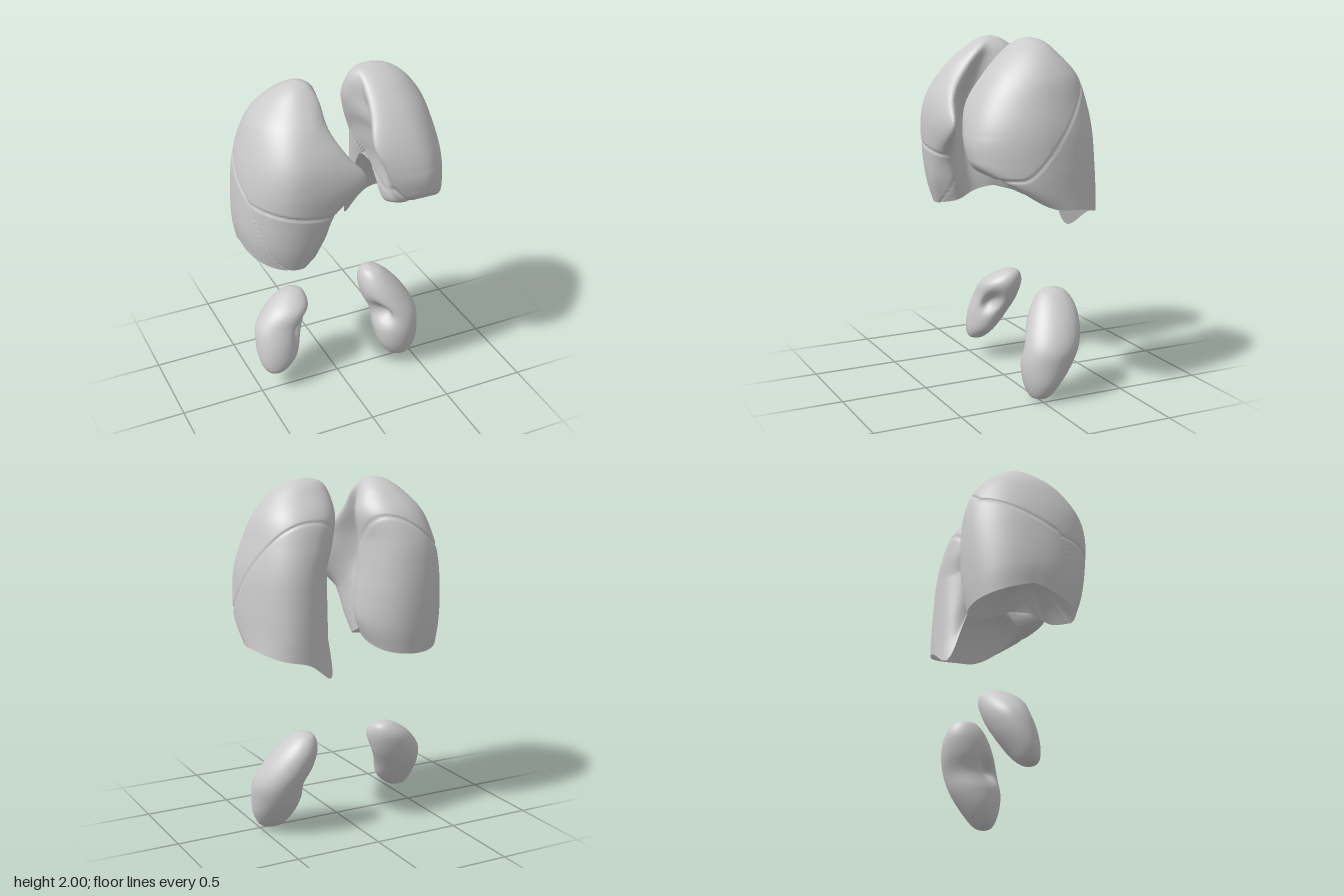
import * as THREE from 'three';

const tissue = new THREE.MeshStandardMaterial({ color: 0xcbcbcb });
tissue.name = 'pale grey tissue';

// Catmull-Rom through the rows of a level table, t from 0 to 1
function sample(levels, t) {
  const f = t * (levels.length - 1);
  const i = Math.min(Math.floor(f), levels.length - 2);
  const k = f - i;
  const row = (n) => levels[THREE.MathUtils.clamp(n, 0, levels.length - 1)];
  return levels[0].map((_, c) => {
    const [a, b, d, e] = [row(i - 1)[c], row(i)[c], row(i + 1)[c], row(i + 2)[c]];
    return b + 0.5 * k * (d - a + k * (2 * a - 5 * b + 4 * d - e + k * (3 * (b - d) + e - a)));
  });
}

// Closed rings stacked from v = 0 to 1; side -1 mirrors. Returns one geometry per group.
function loft(nu, nv, side, point, groupOf = () => 0, groups = 1) {
  const pos = [];
  const all = [];
  const split = Array.from({ length: groups }, () => []);
  for (let j = 0; j <= nv; j++) {
    for (let i = 0; i < nu; i++) {
      const [x, y, z] = point((i / nu) * Math.PI * 2, j / nv);
      pos.push(x * side, y, z);
      if (j === nv) continue;
      const a = j * nu + i;
      const b = j * nu + ((i + 1) % nu);
      const tris = side > 0
        ? [a, a + nu, b, b, a + nu, b + nu]
        : [a, b, a + nu, b, b + nu, a + nu];
      all.push(...tris);
      split[groupOf(x, y, z)].push(...tris);
    }
  }
  const whole = new THREE.BufferGeometry();
  whole.setAttribute('position', new THREE.Float32BufferAttribute(pos, 3));
  whole.setIndex(all);
  whole.computeVertexNormals();
  // lobes share one set of smooth normals
  return split.map((index) => {
    const g = new THREE.BufferGeometry();
    g.setAttribute('position', whole.getAttribute('position'));
    g.setAttribute('normal', whole.getAttribute('normal'));
    g.setIndex(index);
    return g;
  });
}

const power = (v, p) => Math.sign(v) * Math.abs(v) ** p;
const bump = (v, centre, width) => Math.exp(-(((v - centre) / width) ** 2));

// Level rows: y, medial x, lateral x, back z, front z, medial hollow, front tongue
const leftLung = {
  name: 'leftLung', side: 1, domeY: 1.38, frontPower: 1.1, arch: 0.34, heel: 0.15,
  levels: [
    [1.1, 0.17, 0.595, -0.355, 0.2, 0.03, 0],
    [1.2, 0.17, 0.6, -0.355, 0.335, 0.04, 0.02],
    [1.33, 0.15, 0.6, -0.35, 0.367, 0.05, 0.04],
    [1.5, 0.125, 0.588, -0.34, 0.364, 0.06, 0.07],
    [1.65, 0.085, 0.555, -0.32, 0.315, 0.07, 0.09],
    [1.8, 0.065, 0.505, -0.275, 0.225, 0.07, 0.03],
    [1.92, 0.085, 0.415, -0.175, 0.115, 0.03, 0],
    [1.98, 0.135, 0.32, -0.11, 0.025, 0, 0],
    [2.0, 0.22, 0.22, -0.045, -0.045, 0, 0],
  ],
  // lower rim climbs at the front and drops a little at the back
  rim: (c, s) => (s > 0 ? 0.16 * s * s : -0.055 * s * s),
  lobes: ['LowerLobe', 'UpperLobe'],
  fissures(x, y, z) {
    const d = Math.max(0, 0.17 - z);
    const oblique = 1.27 + (1.43 * d * d) / (d + 0.12)
      + 10 * Math.max(0, z) * Math.max(0, 0.4 - x) ** 2;
    return { lobe: y > oblique ? 1 : 0, gap: Math.abs(y - oblique) / 1.3 };
  },
};

const rightLung = {
  name: 'rightLung', side: -1, domeY: 1.24, frontPower: 0.95, arch: 0.04, heel: 0,
  levels: [
    [1.01, 0.09, 0.585, -0.32, 0.28, 0.1, -0.07],
    [1.15, 0.045, 0.605, -0.345, 0.325, 0.14, -0.05],
    [1.32, 0.045, 0.605, -0.36, 0.35, 0.15, 0.02],
    [1.5, 0.06, 0.59, -0.36, 0.36, 0.17, 0.21],
    [1.65, 0.07, 0.555, -0.34, 0.33, 0.14, 0.11],
    [1.8, 0.06, 0.49, -0.28, 0.24, 0.1, -0.01],
    [1.91, 0.11, 0.385, -0.18, 0.13, 0.03, 0],
    [1.97, 0.17, 0.3, -0.09, 0.05, 0, 0],
    [1.99, 0.23, 0.23, -0.02, -0.02, 0, 0],
  ],
  rim: (c, s) => 0.075 * (1 - Math.abs(s)),
  lobes: ['LowerLobe', 'MiddleLobe', 'UpperLobe'],
  fissures(x, y, z) {
    const oblique = 1.49 - 0.5 * z - 12 * Math.max(0, z - 0.1) ** 2
      + 2.3 * Math.max(0, 0.45 - x) * THREE.MathUtils.clamp(-z, 0, 0.3);
    const horizontal = 1.31 + 0.2 * (x - 0.1);
    const gap = Math.abs(y - oblique) / 1.4;
    if (y < oblique) return { lobe: 0, gap };
    return { lobe: y > horizontal ? 2 : 1, gap: Math.min(gap, Math.abs(y - horizontal)) };
  },
};

function makeLung({ name, side, levels, rim, arch, heel, frontPower, domeY, lobes, fissures }) {
  const lung = new THREE.Group();
  lung.name = name;
  const y0 = levels[0][0];

  // outer wall with a hollow medial face and thin grooves between lobes
  const wall = (a, v) => {
    const [ly, xm, xl, zb, zf, hollow, tongue] = sample(levels, v);
    const c = Math.cos(a);
    const s = Math.sin(a);
    // fuller inner front corner, rounder outer front
    const p = s < 0 ? 0.93 : c < 0 ? 0.85 : frontPower;
    const cx = (xm + xl) / 2;
    const cz = (zb + zf) / 2;
    const low = Math.max(0, 1 - (ly - y0) / 0.4);
    const corner = heel * bump(a, 4.05, 0.4) * low;
    const y = ly + rim(c, s) * low - corner
      + arch * bump(a, 3.1, 0.55) * Math.max(0, 1 - (ly - y0) / 0.75);
    const x = cx + ((xl - xm) / 2) * power(c, p) - 0.4 * corner
      + hollow * bump(a, 2.82, 0.38) - tongue * bump(a, 2.05, 0.4);
    const z = cz + ((zf - zb) / 2) * power(s, p);
    const k = 1 - 0.03 * bump(fissures(x, y, z).gap, 0, 0.007);
    return [cx + (x - cx) * k, y, cz + (z - cz) * k];
  };
  loft(144, 140, side, wall, (x, y, z) => fissures(x, y, z).lobe, lobes.length)
    .forEach((geometry, i) => {
      const mesh = new THREE.Mesh(geometry, tissue);
      mesh.name = name + lobes[i];
      lung.add(mesh);
    });

  // concave underside
  const [, xm, xl, zb, zf] = levels[0];
  const base = (a, v) => {
    const [x, y, z] = wall(a, 0);
    return [
      THREE.MathUtils.lerp((xm + xl) / 2, x, v),
      THREE.MathUtils.lerp(domeY, y, v * v),
      THREE.MathUtils.lerp((zb + zf) / 2, z, v),
    ];
  };
  const underside = new THREE.Mesh(loft(144, 16, side, base)[0], tissue);
  underside.name = name + 'Base';
  lung.add(underside);
  return lung;
}

// Level rows: y, centre x, half width, centre z, half depth
const leftKidney = [
  [0, 0.43, 0, 0, 0],
  [0.022, 0.43, 0.07, -0.01, 0.055],
  [0.1, 0.425, 0.122, -0.03, 0.105],
  [0.2, 0.422, 0.142, -0.06, 0.145],
  [0.3, 0.422, 0.143, -0.09, 0.158],
  [0.4, 0.378, 0.142, -0.122, 0.155],
  [0.5, 0.332, 0.114, -0.148, 0.128],
  [0.575, 0.3, 0.062, -0.16, 0.075],
  [0.6, 0.29, 0, -0.16, 0],
];
const rightKidney = [
  [0.115, 0.4, 0, 0, 0],
  [0.135, 0.4, 0.06, -0.005, 0.05],
  [0.2, 0.38, 0.113, -0.025, 0.085],
  [0.3, 0.362, 0.139, -0.065, 0.115],
  [0.4, 0.328, 0.153, -0.1, 0.125],
  [0.5, 0.275, 0.125, -0.12, 0.12],
  [0.565, 0.235, 0.065, -0.15, 0.06],
  [0.585, 0.23, 0, -0.16, 0],
];

// bean with a notch on its inner front side
function makeKidney(name, side, levels, notchY) {
  const point = (a, v) => {
    const [y, cx, rx, cz, rz] = sample(levels, v);
    const notch = 0.06 * bump(y, notchY, 0.06) * bump(a, 2.5, 0.4);
    return [cx + rx * Math.cos(a) + notch, y, cz + rz * Math.sin(a) - notch * 0.4];
  };
  const mesh = new THREE.Mesh(loft(64, 56, side, point)[0], tissue);
  mesh.name = name;
  return mesh;
}

export function createModel() {
  const model = new THREE.Group();
  model.name = 'lungsAndKidneys';
  model.add(
    makeLung(leftLung),
    makeLung(rightLung),
    makeKidney('leftKidney', 1, leftKidney, 0.33),
    makeKidney('rightKidney', -1, rightKidney, 0.38),
  );
  return model;
}
